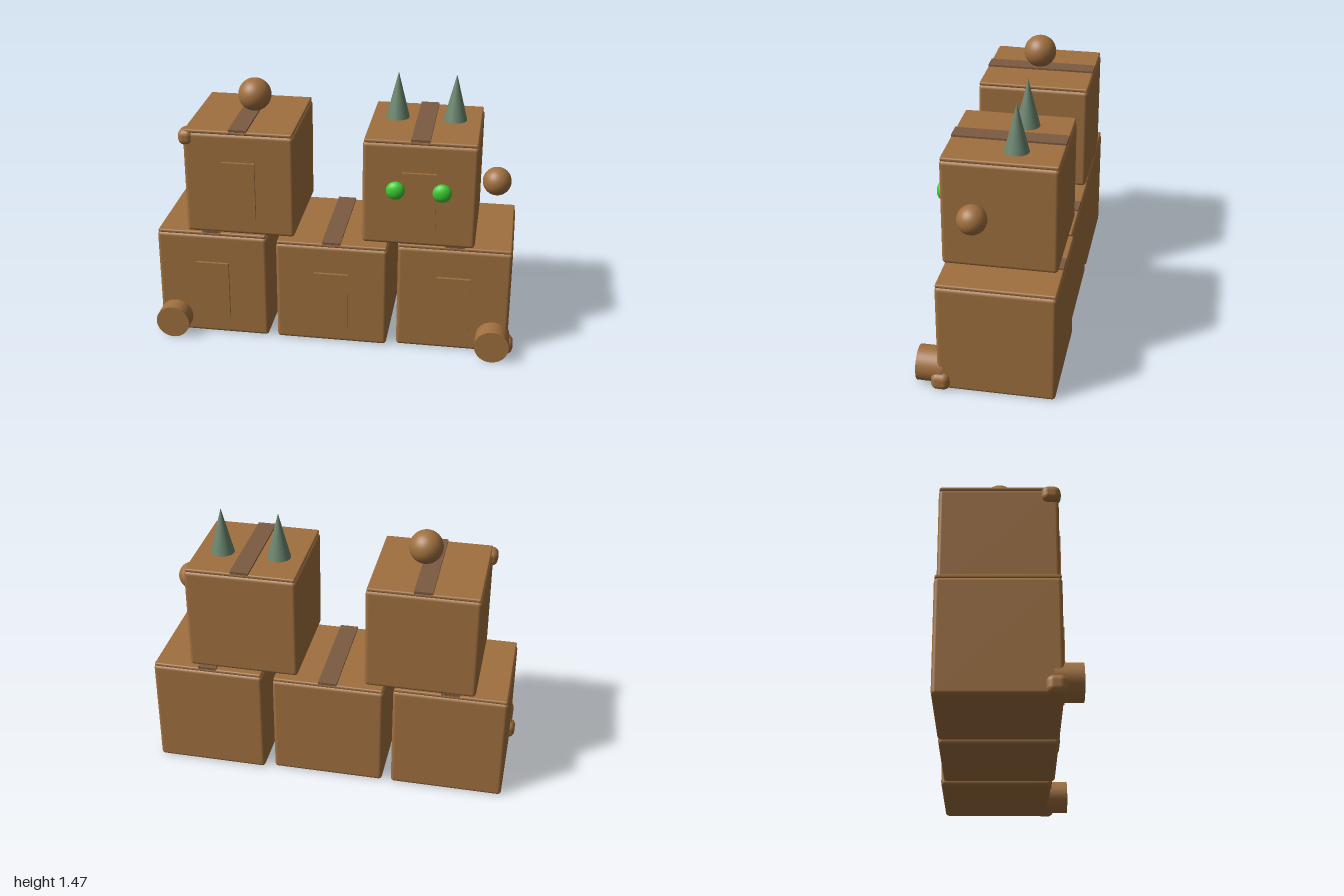
import * as THREE from 'three';
import { RoundedBoxGeometry } from 'three/addons/geometries/RoundedBoxGeometry.js';

const mat = (name, color) => {
  const m = new THREE.MeshStandardMaterial({ color });
  m.name = name;
  return m;
};

export function createModel() {
  const model = new THREE.Group();
  model.name = 'stackedCrates';
  const cardboard = mat('cardboard brown', 0xa0703f);
  const tape = mat('tape brown', 0x7c5a40);
  const sage = mat('sage green', 0x6b866f);
  const lime = mat('bright green', 0x3ccd32);

  const add = (parent, name, geometry, material, x, y, z) => {
    const mesh = new THREE.Mesh(geometry, material);
    mesh.name = name;
    mesh.position.set(x, y, z);
    parent.add(mesh);
    return mesh;
  };

  // One crate: rounded body, thin lid, tape strip and raised front panel
  const crate = (name, x, y, z, w, h, d) => {
    const g = new THREE.Group();
    g.name = name;
    g.position.set(x, y, z);
    const lid = 0.02, body = h - lid + 0.003;
    add(g, 'body', new RoundedBoxGeometry(w, body, d, 3, 0.02), cardboard, 0, body / 2, 0);
    add(g, 'lid', new RoundedBoxGeometry(w - 0.012, lid, d - 0.006, 2, 0.008), cardboard, 0, h - lid / 2, 0);
    add(g, 'tapeStrip', new THREE.BoxGeometry(w * 0.165, 0.02, d - 0.008), tape, 0, h, 0);
    add(g, 'frontPanel', new THREE.BoxGeometry(w * 0.3, h * 0.54, 0.03), cardboard, 0, h * 0.44, d / 2);
    model.add(g);
  };
  crate('lowerRightCrate', -0.665, 0, -0.036, 0.612, 0.62, 0.612);
  crate('lowerMiddleCrate', -0.003, 0, -0.036, 0.612, 0.597, 0.612);
  crate('lowerLeftCrate', 0.662, 0, -0.054, 0.612, 0.62, 0.612);
  crate('upperRightCrate', -0.5, 0.623, -0.036, 0.594, 0.592, 0.61);
  crate('upperLeftCrate', 0.463, 0.623, -0.037, 0.602, 0.592, 0.594);

  // Round feet and corner nubs, mirrored
  for (const s of [-1, 1]) {
    const foot = add(model, 'roundFoot', new THREE.CylinderGeometry(0.093, 0.093, 0.14, 32), cardboard, s * 0.885, 0.093, 0.293);
    foot.rotation.x = Math.PI / 2;
    add(model, 'cornerNub', new RoundedBoxGeometry(0.1, 0.096, 0.1, 3, 0.035), cardboard, s * 0.948, 0.048, 0.234);
  }
  add(model, 'upperNub', new RoundedBoxGeometry(0.084, 0.09, 0.1, 3, 0.035), cardboard, -0.783, 1.167, 0.23);

  // Loose balls
  add(model, 'topBall', new THREE.SphereGeometry(0.09, 32, 20), cardboard, -0.467, 1.324, -0.033);
  add(model, 'sideBall', new THREE.SphereGeometry(0.076, 32, 20), cardboard, 0.86, 0.947, 0.077);

  // Ears and eyes on the upper left crate
  for (const s of [-1, 1]) {
    add(model, 'ear', new THREE.ConeGeometry(0.064, 0.256, 32), sage, 0.461 + s * 0.155, 1.341, -0.1);
    add(model, 'eye', new THREE.SphereGeometry(0.05, 24, 16), lime, 0.462 + s * 0.122, 0.947, 0.285).scale.z = 0.64;
  }
  return model;
}
